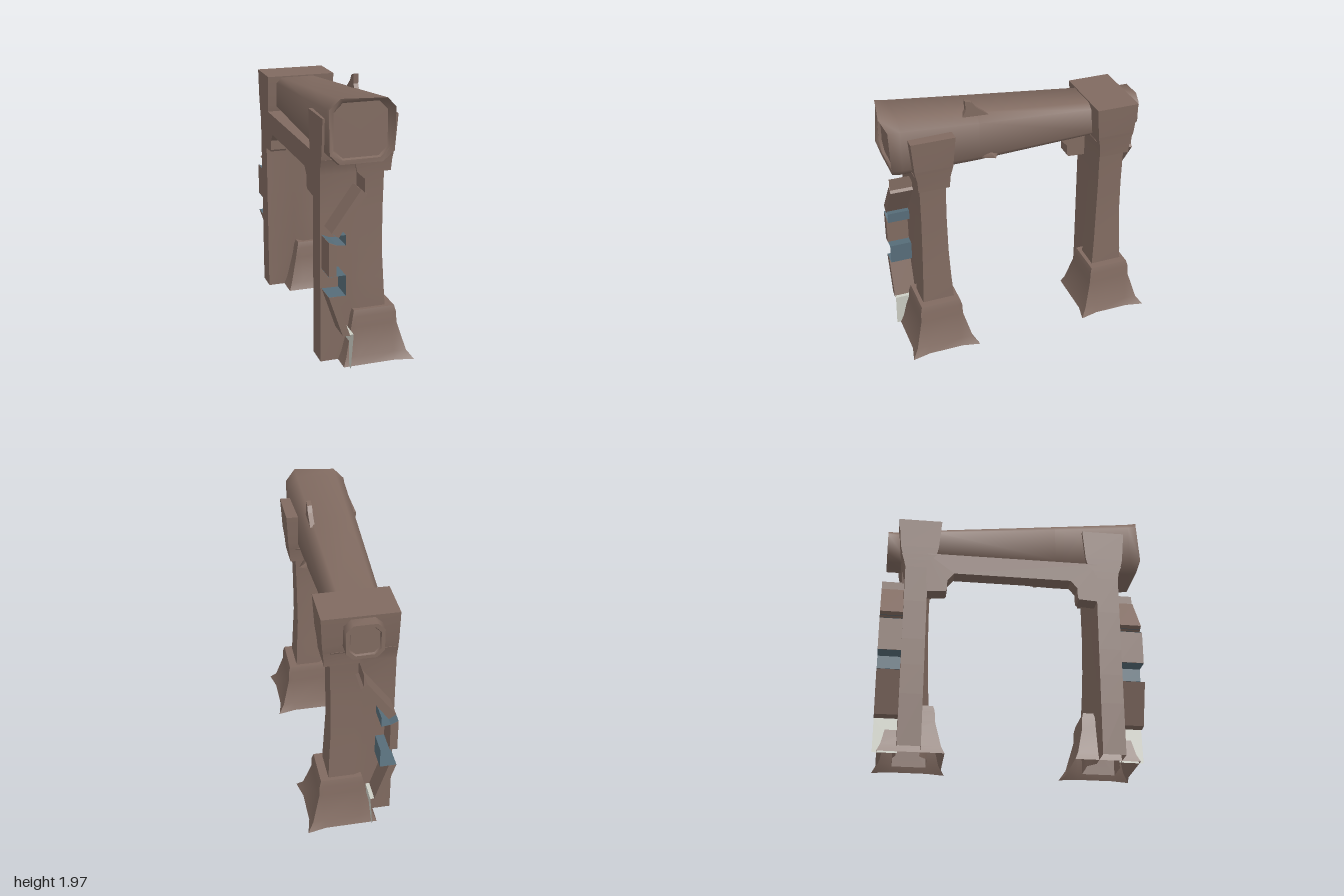
import * as THREE from 'three';
import { toCreasedNormals } from 'three/addons/utils/BufferGeometryUtils.js';

const wood = new THREE.MeshStandardMaterial({ color: 0x806a60, side: THREE.DoubleSide });
const blue = new THREE.MeshStandardMaterial({ color: 0x566c78, side: THREE.DoubleSide });
const pale = new THREE.MeshStandardMaterial({ color: 0xcccec4, side: THREE.DoubleSide });

// Skin a list of rings (each an equal-length list of [x, y, z]); the start may stay open.
function loft(rings, startClosed = true) {
  const pos = [];
  const n = rings[0].length;
  const tri = (a, b, c) => pos.push(...a, ...b, ...c);
  const mid = (r) => [0, 1, 2].map((k) => r.reduce((s, p) => s + p[k], 0) / n);
  const first = rings[0], last = rings[rings.length - 1];
  const m0 = mid(first), m1 = mid(last);
  for (let j = 0; j < n; j++) {
    const k = (j + 1) % n;
    for (let i = 0; i < rings.length - 1; i++) {
      const a = rings[i], b = rings[i + 1];
      tri(a[j], a[k], b[k]);
      tri(a[j], b[k], b[j]);
    }
    if (startClosed) tri(m0, first[k], first[j]);
    tri(m1, last[j], last[k]);
  }
  const g = new THREE.BufferGeometry();
  g.setAttribute('position', new THREE.Float32BufferAttribute(pos, 3));
  return toCreasedNormals(g, 0.85);
}

function add(parent, name, geometry, material = wood) {
  const mesh = new THREE.Mesh(geometry, material);
  mesh.name = name;
  parent.add(mesh);
  return mesh;
}

// Horizontal rectangle ring, and vertical octagon ring
const rect = (y, x0, x1, h) => [[x0, y, h], [x1, y, h], [x1, y, -h], [x0, y, -h]];
const octagon = (z, x0, x1, y0, y1, c) => [
  [x0 + c, y0, z], [x1 - c, y0, z], [x1, y0 + c, z], [x1, y1 - c, z],
  [x1 - c, y1, z], [x0 + c, y1, z], [x0, y1 - c, z], [x0, y0 + c, z],
];

// Shaft ring: wide front part (half depth h) blending into a thinner wall at the rear
const shaftRing = (y, x1, h, w0, w1) => [
  [-0.32, y, w1], [-0.1, y, w1], [-0.04, y, h], [x1, y, h],
  [x1, y, -h], [-0.04, y, -h], [-0.1, y, -w0], [-0.32, y, -w0],
];

// Foot ring: square whose front corners flare beyond its sides, plain at the back
function footRing(y, corner, side, back) {
  const c = corner, s = side, b = back, t = 0.13, x = 0.06;
  return [[-b, s], [-t, s], [t, s], [c, c], [s, t], [s, -t], [c, -c], [t, -s], [-t, -s], [-b, -s]]
    .map(([px, pz]) => [x + px, y, pz]);
}

function polygon(points, depth) {
  const shape = new THREE.Shape(points.map((p) => new THREE.Vector2(...p)));
  return new THREE.ExtrudeGeometry(shape, { depth, bevelEnabled: false });
}

// Outline given as [z, y], thickened toward -x
const sidePolygon = (points, depth) => polygon(points, depth).rotateY(-Math.PI / 2);

// Thin folded sheet: a polyline in x, y swept along z
function sheet(points, depth) {
  const pos = [];
  for (let i = 0; i < points.length - 1; i++) {
    const [a, b] = [points[i], points[i + 1]];
    pos.push(...a, 0, ...b, 0, ...b, depth, ...a, 0, ...b, depth, ...a, depth);
  }
  const g = new THREE.BufferGeometry();
  g.setAttribute('position', new THREE.Float32BufferAttribute(pos, 3));
  g.computeVertexNormals();
  return g;
}

function pillar(z, outward) {
  const g = new THREE.Group();
  g.name = 'pillar';
  g.position.z = z;

  // Waisted shaft running back into the flat rear wall, coved out under the capital
  const [w0, w1] = outward > 0 ? [0.065, 0.1] : [0.1, 0.065];
  add(g, 'shaftAndWall', loft([
    shaftRing(0, 0.15, 0.121, w0, w1), shaftRing(0.38, 0.15, 0.121, w0, w1),
    shaftRing(0.6, 0.14, 0.108, w0, w1), shaftRing(0.8, 0.13, 0.1, w0, w1),
    shaftRing(1.1, 0.132, 0.095, w0, w1), shaftRing(1.38, 0.138, 0.097, w0, w1),
    shaftRing(1.44, 0.14, 0.105, w0 + 0.015, w1 + 0.01), shaftRing(1.49, 0.14, 0.13, 0.13, 0.13),
  ], false));

  // Flared hollow foot
  add(g, 'foot', loft([
    footRing(0, 0.265, 0.235, 0.25), footRing(0.06, 0.22, 0.21, 0.225), footRing(0.26, 0.165, 0.165, 0.175),
    footRing(0.34, 0.162, 0.162, 0.162), footRing(0.385, 0.15, 0.15, 0.15),
  ], false));

  // Capital: narrow neck under a block that reaches the rear plane
  add(g, 'capitalNeck', loft([
    rect(1.375, -0.06, 0.18, 0.115), rect(1.46, -0.08, 0.187, 0.12), rect(1.55, -0.1, 0.198, 0.138),
  ]));
  add(g, 'capitalBlock', loft([
    rect(1.485, -0.32, 0.19, 0.125), rect(1.55, -0.32, 0.198, 0.14), rect(1.78, -0.32, 0.21, 0.16),
  ]));

  // Outer side: jointed slats with recessed strips between them
  const depth = 0.175;
  const start = outward > 0 ? 0.09 : -0.09 - depth;
  const slats = [
    [[-0.29, 1.02], [-0.24, 0.985], [-0.04, 1.27], [-0.085, 1.305]],
    [[-0.31, 0.71], [-0.255, 0.71], [-0.255, 0.93], [-0.31, 0.955]],
    [[-0.21, 0.26], [-0.155, 0.25], [-0.255, 0.56], [-0.31, 0.56]],
  ];
  for (const s of slats) add(g, 'slat', polygon(s, depth)).position.z = start;
  const strips = [
    ['upperStrip', blue, [[-0.31, 0.958], [-0.255, 0.933], [-0.19, 0.925], [-0.19, 1.0], [-0.27, 1.0]]],
    ['middleStrip', blue, [[-0.31, 0.562], [-0.19, 0.56], [-0.19, 0.71], [-0.31, 0.708]]],
    ['lowerStrip', pale, [[-0.21, 0.262], [-0.13, 0.26], [-0.15, 0]]],
    ['topStrip', wood, [[-0.06, 1.28], [-0.06, 1.38]]],
  ];
  for (const [name, mat, pts] of strips) add(g, name, sheet(pts, depth), mat).position.z = start;
  return g;
}

export function createModel() {
  const model = new THREE.Group();
  model.name = 'gateway';
  model.add(pillar(0.665, 1), pillar(-0.725, -1));

  // Tapered lintel with a ragged lip and a slightly recessed front panel
  const lip = octagon(0.93, -0.31, 0.14, 1.49, 1.935, 0.075);
  lip[2][2] = lip[7][2] = 0.95;
  lip[3][2] = 0.96;
  lip[4][2] = 1.0;
  lip[5][2] = 0.95;
  add(model, 'lintel', loft([
    octagon(-0.62, -0.25, 0.08, 1.5, 1.765, 0.04),
    octagon(0.3, -0.285, 0.115, 1.475, 1.86, 0.06),
    octagon(0.87, -0.305, 0.135, 1.48, 1.92, 0.07),
    lip,
    octagon(0.93, -0.28, 0.11, 1.52, 1.905, 0.065),
    octagon(0.91, -0.272, 0.102, 1.528, 1.897, 0.062),
  ]));

  // Small octagonal rear end with a recessed panel
  add(model, 'rearEnd', loft([
    octagon(-0.948, -0.168, 0.028, 1.532, 1.728, 0.037),
    octagon(-0.963, -0.175, 0.035, 1.525, 1.735, 0.04),
    octagon(-0.963, -0.2, 0.06, 1.5, 1.762, 0.05),
    octagon(-0.85, -0.2, 0.06, 1.5, 1.762, 0.05),
  ]));

  // Under-beam with stepped corner brackets, flush with the rear plane
  const half = [[0.64, 1.5], [0.64, 1.185], [0.495, 1.195], [0.485, 1.21], [0.485, 1.285], [0.435, 1.345]];
  const outline = [...half.map(([z, y]) => [z - 0.03, y]), ...half.map(([z, y]) => [-z - 0.03, y]).reverse()];
  add(model, 'underBeam', sidePolygon(outline, 0.12)).position.x = -0.2;

  // Broken splinters on the lintel
  const shard = [[0.41, 1.85], [0.385, 1.9], [0.39, 1.97], [0.34, 1.955], [0.31, 1.91], [0.22, 1.84]];
  add(model, 'topSplinter', sidePolygon(shard, 0.035)).position.x = 0.08;
  const chip = add(model, 'sideSplinter', new THREE.ConeGeometry(0.025, 0.07, 4));
  chip.scale.z = 3;
  chip.position.set(0.135, 1.53, 0.21);
  chip.rotation.set(0, 0.3, -Math.PI / 2);
  return model;
}
